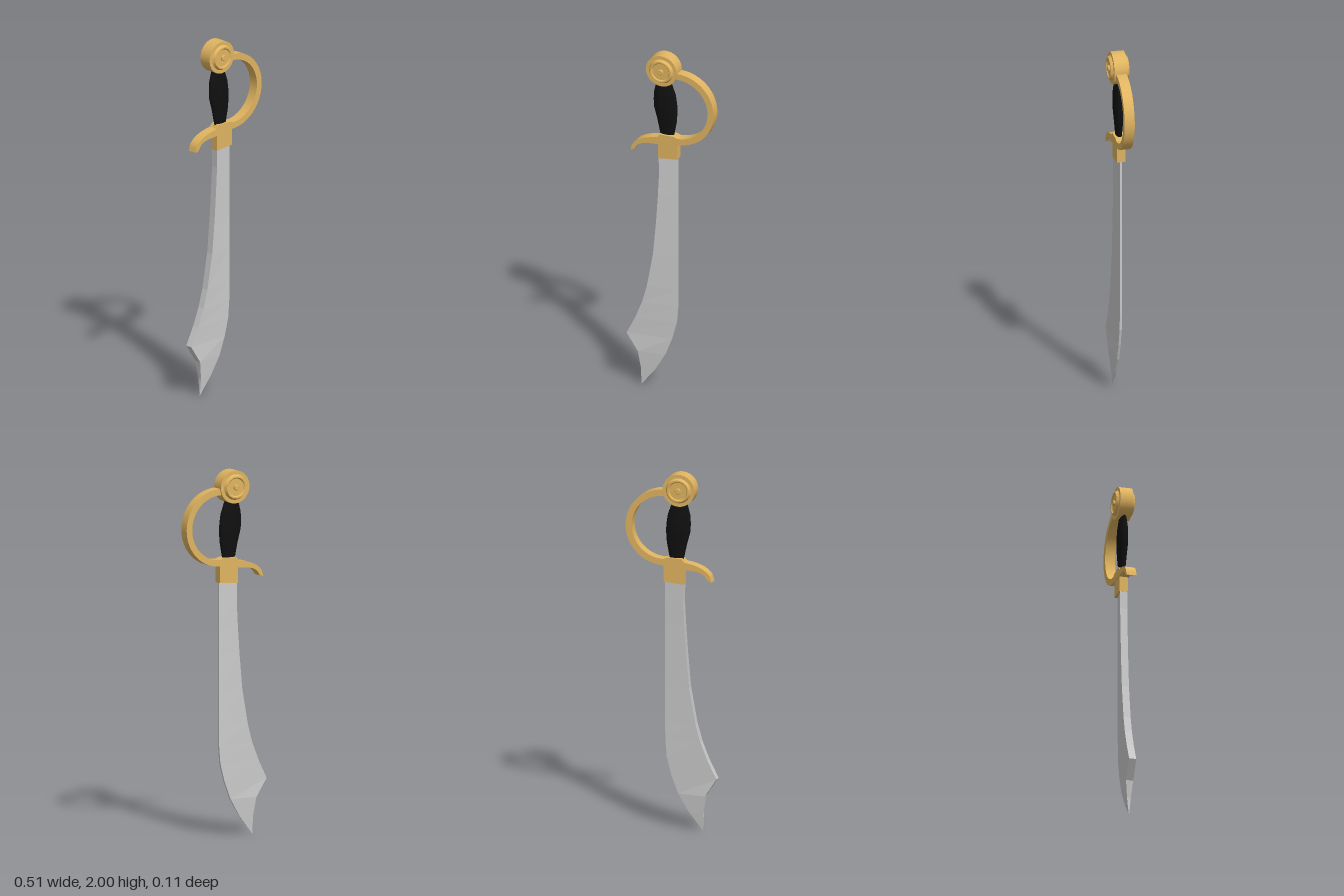
import * as THREE from 'three';
import { toCreasedNormals } from 'three/addons/utils/BufferGeometryUtils.js';

const steel = new THREE.MeshStandardMaterial({ color: 0xcccccc });
const gold = new THREE.MeshStandardMaterial({ color: 0xe0b460 });
const black = new THREE.MeshStandardMaterial({ color: 0x101010 });

// Joins rings of points (rising in y, counter-clockwise from above) and caps both ends
function loft(rings) {
  const n = rings[0].length, pos = [];
  const tri = (a, b, c) => pos.push(...a, ...b, ...c);
  for (let i = 0; i + 1 < rings.length; i++) {
    const r = rings[i], s = rings[i + 1];
    for (let j = 0; j < n; j++) {
      const k = (j + 1) % n;
      tri(r[j], r[k], s[k]);
      tri(r[j], s[k], s[j]);
    }
  }
  const bottom = rings[0], top = rings[rings.length - 1];
  for (let j = 1; j + 1 < n; j++) {
    tri(bottom[0], bottom[j + 1], bottom[j]);
    tri(top[0], top[j], top[j + 1]);
  }
  const g = new THREE.BufferGeometry();
  g.setAttribute('position', new THREE.Float32BufferAttribute(pos, 3));
  g.computeVertexNormals();
  return g;
}

export function createModel() {
  const group = new THREE.Group();
  const add = (name, geometry, material) => {
    const mesh = new THREE.Mesh(geometry, material);
    mesh.name = name;
    group.add(mesh);
    return mesh;
  };

  // Blade: wedge sections [y, spine x, cutting edge x], thinning towards the tip
  const sections = [
    [0, -0.176, -0.174], [0.1, -0.175, -0.095], [0.2, -0.19, -0.035], [0.3, -0.255, 0.003],
    [0.4, -0.205, 0.029], [0.5, -0.165, 0.037], [0.6, -0.137, 0.038], [0.8, -0.101, 0.038],
    [1.0, -0.083, 0.038], [1.15, -0.073, 0.038], [1.28, -0.066, 0.038], [1.42, -0.069, 0.038],
  ];
  add('blade', loft(sections.map(([y, spine, edge]) => {
    const k = Math.min(1, 0.03 + y / 0.2), t = 0.02 * k, e = 0.006 * k;
    return [[edge, y, -e], [spine, y, -t], [spine, y, t], [edge, y, e]];
  })), steel);

  // Bolster: block that holds the blade, with a slanted lower end
  const block = (y, x0, x1, slant) => [
    [x1, y + slant, -0.024], [x0, y, -0.024], [x0, y, 0.024], [x1, y + slant, 0.024]];
  add('bolster', loft([block(1.38, -0.07, 0.042, 0.01), block(1.49, -0.07, 0.042, 0)]), gold);

  // Guard: curled arm on one side, round knuckle bow on the other
  const v = (x, y) => new THREE.Vector2(x, y);
  const cx = 0.043, cy = 1.694, q = Math.PI / 2;
  const outline = new THREE.Shape();
  outline.moveTo(-0.23, 1.405);
  outline.lineTo(-0.208, 1.413);
  outline.splineThru([v(-0.185, 1.443), v(-0.14, 1.46), v(-0.07, 1.466), v(cx, cy - 0.212)]);
  outline.absarc(cx, cy, 0.212, -q, q, false);
  outline.lineTo(0.0, 1.906);
  outline.lineTo(0.0, 1.871);
  outline.absarc(cx, cy, 0.177, q, -q, true);
  outline.lineTo(0.02, 1.525);
  outline.lineTo(-0.06, 1.525);
  outline.lineTo(-0.075, 1.506);
  outline.splineThru([v(-0.13, 1.495), v(-0.18, 1.475), v(-0.215, 1.445), v(-0.23, 1.405)]);
  const guard = new THREE.ExtrudeGeometry(outline, { depth: 0.056, bevelEnabled: false, curveSegments: 24 });
  guard.translate(0, 0, -0.028);
  add('guard', toCreasedNormals(guard, 0.6), gold);

  // Grip: swelling oval handle, [y, left x, right x]
  const grip = [
    [1.5, -0.064, 0.012], [1.52, -0.066, 0.014], [1.605, -0.084, 0.03], [1.675, -0.103, 0.035],
    [1.72, -0.105, 0.031], [1.765, -0.103, 0.024], [1.83, -0.087, 0.001], [1.87, -0.08, -0.01],
  ];
  add('grip', loft(grip.map(([y, a, b]) => Array.from({ length: 12 }, (_, i) => {
    const t = (i / 12) * Math.PI * 2, r = (b - a) / 2;
    return [(a + b) / 2 + r * Math.cos(t), y, -0.4 * r * Math.sin(t)];
  }))), black);

  // Pommel: disc with a raised, dished rim and a small stud on both faces
  const face = [[0, 0.057], [0.013, 0.057], [0.016, 0.054], [0.016, 0.046], [0.048, 0.046],
    [0.053, 0.052], [0.061, 0.052], [0.07, 0.037], [0.09, 0.037]];
  const profile = [...face.map(([r, h]) => v(r, -h)), ...face.reverse().map(([r, h]) => v(r, h))];
  const pommel = new THREE.LatheGeometry(profile, 40);
  pommel.rotateX(q);
  add('pommel', toCreasedNormals(pommel, 0.5), gold).position.set(-0.046, 1.91, 0);

  return group;
}
